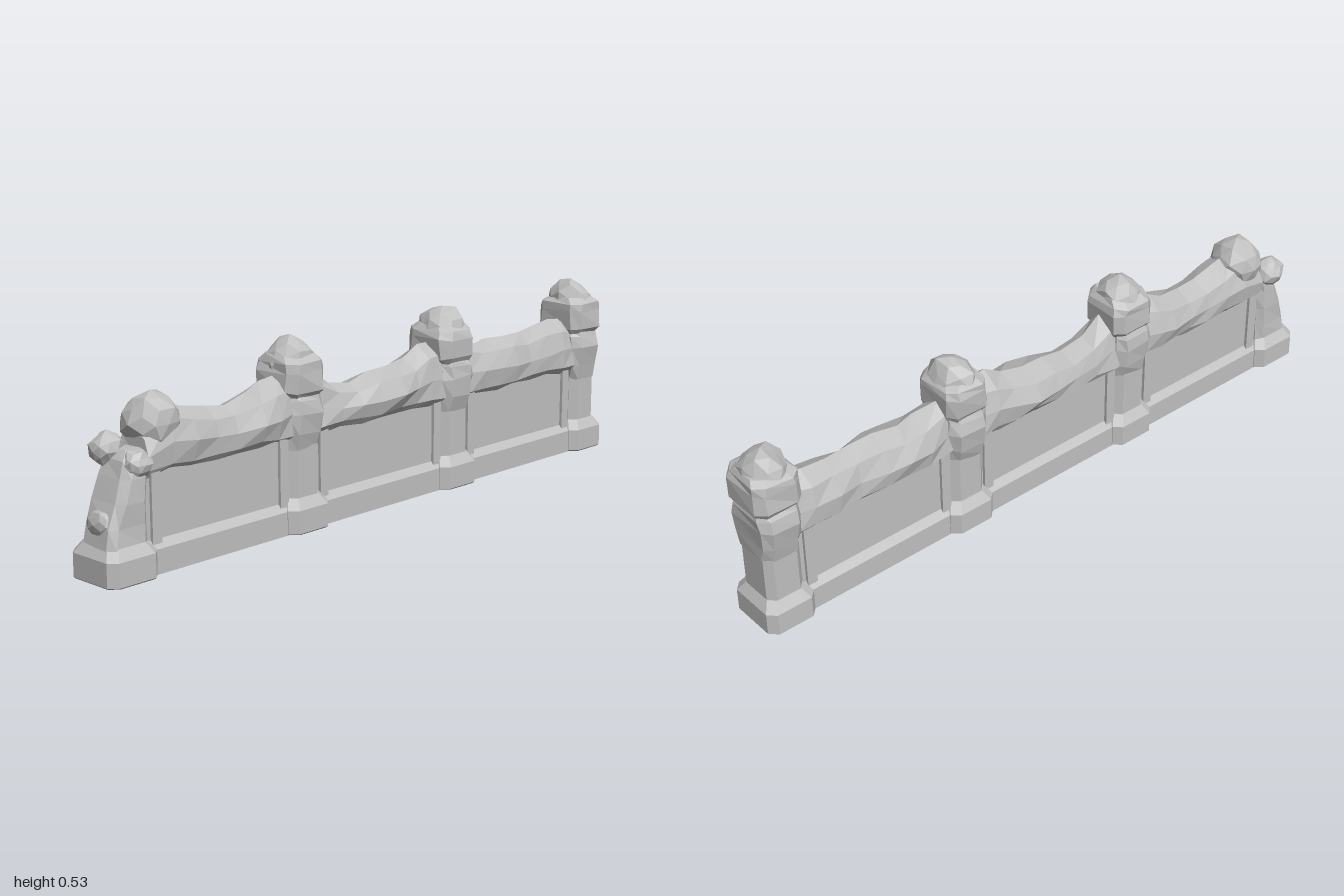
import * as THREE from 'three';
import { mergeVertices } from 'three/addons/utils/BufferGeometryUtils.js';

const stone = new THREE.MeshStandardMaterial({ color: 0xbfbfbf });
stone.name = 'grey stone';

// Small seeded generator for chipped stone
let seed = 7;
const rnd = () => {
  seed = (seed * 16807) % 2147483647;
  return (seed / 2147483647) * 2 - 1;
};

const flat = (geo) => {
  const g = geo.index ? geo.toNonIndexed() : geo;
  g.computeVertexNormals();
  return g;
};

function add(parent, geo, name, x = 0, y = 0, z = 0) {
  const mesh = new THREE.Mesh(flat(geo), stone);
  mesh.name = name;
  mesh.position.set(x, y, z);
  parent.add(mesh);
  return mesh;
}

// Closed skin through cross-sections of equal length, turned to face outwards
function loft(rings, rough = 0) {
  const n = rings[0].length;
  const pts = rings.flat().map((p) => p.map((v) => v + rnd() * rough));
  const idx = [];
  for (let r = 0; r < rings.length - 1; r++) {
    for (let i = 0; i < n; i++) {
      const a = r * n + i, b = r * n + (i + 1) % n;
      idx.push(a, b, b + n, a, b + n, a + n);
    }
  }
  [0, rings.length - 1].forEach((r, end) => {
    const c = [0, 1, 2].map((k) => rings[r].reduce((s, p) => s + p[k], 0) / n);
    const ci = pts.push(c) - 1;
    for (let i = 0; i < n; i++) {
      const a = r * n + i, b = r * n + (i + 1) % n;
      if (end) idx.push(a, b, ci);
      else idx.push(b, a, ci);
    }
  });
  const v = pts.map((p) => new THREE.Vector3(...p));
  let volume = 0;
  for (let i = 0; i < idx.length; i += 3) {
    volume += v[idx[i]].dot(v[idx[i + 1]].clone().cross(v[idx[i + 2]]));
  }
  if (volume < 0) idx.reverse();
  const g = new THREE.BufferGeometry();
  g.setAttribute('position', new THREE.Float32BufferAttribute(pts.flat(), 3));
  g.setIndex(idx);
  return g;
}

// Rectangle with cut corners at height y: half sizes hx, hz, corner cut c
const octagon = ([y, hx, hz, c, dz = 0]) => [
  [hx, y, dz + hz - c], [hx - c, y, dz + hz], [c - hx, y, dz + hz], [-hx, y, dz + hz - c],
  [-hx, y, dz + c - hz], [c - hx, y, dz - hz], [hx - c, y, dz - hz], [hx, y, dz + c - hz],
];
const stack = (levels, rough) => loft(levels.map(octagon), rough);

// Chipped boulder
function boulder(rx, ry, rz, rough = 0.12) {
  let g = new THREE.IcosahedronGeometry(1, 1);
  g.deleteAttribute('normal');
  g.deleteAttribute('uv');
  g = mergeVertices(g, 1e-3);
  const p = g.attributes.position;
  for (let i = 0; i < p.count; i++) {
    const s = 1 + (rnd() - 0.4) * rough;
    p.setXYZ(i, p.getX(i) * s, p.getY(i) * s, p.getZ(i) * s);
  }
  return g.scale(rx, ry, rz);
}

function base(parent, hz) {
  add(parent, stack([[0, 0.084, hz - 0.004, 0.022], [0.004, 0.088, hz, 0.022], [0.068, 0.088, hz, 0.022],
    [0.096, 0.068, hz - 0.018, 0.02]]), 'pillarBase');
}

function pillar(z) {
  const g = new THREE.Group();
  g.name = 'pillar';
  g.position.z = z;
  base(g, 0.075);
  add(g, stack([[0.09, 0.066, 0.056, 0.02], [0.235, 0.066, 0.056, 0.02]]), 'shaft');
  add(g, stack([[0.225, 0.065, 0.056, 0.02], [0.27, 0.078, 0.061, 0.022], [0.325, 0.086, 0.066, 0.026],
    [0.36, 0.078, 0.062, 0.024], [0.385, 0.068, 0.058, 0.022]], 0.004), 'neck');
  add(g, stack([[0.362, 0.066, 0.056, 0.02], [0.385, 0.08, 0.07, 0.024], [0.44, 0.08, 0.071, 0.026],
    [0.462, 0.078, 0.066, 0.026], [0.478, 0.06, 0.055, 0.025]], 0.004), 'capital');
  add(g, boulder(0.076, 0.08, 0.066, 0.1), 'capStone', 0, 0.453, 0);
  return g;
}

// Wall bay: plinth, recessed panel, frame strips and rough broken top.
// Profile entries are [z, top height, half width]
function bay(z0, z1, profile) {
  const g = new THREE.Group();
  g.name = 'wallBay';
  const section = (z) => [[-0.064, 0, z], [-0.064, 0.066, z], [-0.045, 0.086, z], [-0.045, 0.29, z],
    [0.045, 0.29, z], [0.045, 0.086, z], [0.064, 0.066, z], [0.064, 0, z]];
  add(g, loft([section(z0), section(z1)]), 'plinthAndPanel');
  for (const z of [z0 - 0.075, z1 + 0.075]) {
    add(g, new THREE.BoxGeometry(0.108, 0.25, 0.03), 'frameStrip', 0, 0.175, z);
  }
  const ring = ([z, h, w]) => {
    const d = h - 0.27;
    const lean = rnd() * 0.012;
    const half = [[0.042, 0.252], [0.063, 0.272], [w, 0.27 + d * 0.38], [w * 0.74, 0.27 + d * 0.78]];
    return [...half.map(([x, y]) => [x, y, z]), [lean, h, z],
      ...half.reverse().map(([x, y]) => [-x, y, z])];
  };
  add(g, loft(profile.map(ring), 0.005), 'brokenTop');
  return g;
}

export function createModel() {
  const wall = new THREE.Group();
  wall.name = 'ruinedWall';

  for (const z of [0.31, -0.3, -0.908]) wall.add(pillar(z));

  wall.add(bay(0.9, 0.31, [[0.85, 0.37, 0.06], [0.77, 0.43, 0.072], [0.7, 0.405, 0.07], [0.62, 0.385, 0.064],
    [0.55, 0.382, 0.066], [0.47, 0.398, 0.08], [0.42, 0.42, 0.082], [0.36, 0.43, 0.066], [0.32, 0.41, 0.05]]));
  wall.add(bay(0.31, -0.3, [[0.29, 0.42, 0.05], [0.24, 0.42, 0.056], [0.17, 0.375, 0.058], [0.09, 0.36, 0.066],
    [0.02, 0.38, 0.078], [-0.06, 0.388, 0.084], [-0.13, 0.4, 0.07], [-0.19, 0.427, 0.066],
    [-0.25, 0.43, 0.06], [-0.29, 0.42, 0.05]]));
  wall.add(bay(-0.3, -0.9, [[-0.31, 0.42, 0.05], [-0.36, 0.418, 0.06], [-0.43, 0.396, 0.068], [-0.5, 0.398, 0.078],
    [-0.57, 0.404, 0.072], [-0.65, 0.396, 0.062], [-0.73, 0.41, 0.066], [-0.8, 0.418, 0.068],
    [-0.85, 0.415, 0.06], [-0.89, 0.4, 0.05]]));

  // Broken front post, leaning back, with fallen stones on top
  const post = new THREE.Group();
  post.name = 'brokenPost';
  post.position.z = 0.918;
  base(post, 0.08);
  add(post, stack([[0.09, 0.066, 0.064, 0.018], [0.14, 0.065, 0.06, 0.02, -0.006], [0.2, 0.065, 0.05, 0.022, -0.018],
    [0.26, 0.062, 0.042, 0.022, -0.032], [0.3, 0.055, 0.036, 0.02, -0.04], [0.325, 0.04, 0.024, 0.014, -0.048]],
  0.003), 'brokenShaft');
  add(post, boulder(0.042, 0.05, 0.048), 'smallStone', -0.043, 0.318, -0.018);
  add(post, boulder(0.036, 0.038, 0.046), 'smallStone', 0.043, 0.292, -0.045);
  add(post, boulder(0.046, 0.04, 0.02), 'chippedFront', 0, 0.148, 0.046);
  add(post, boulder(0.08, 0.078, 0.08, 0.1), 'largeStone', 0, 0.38, -0.128);
  wall.add(post);

  return wall;
}
